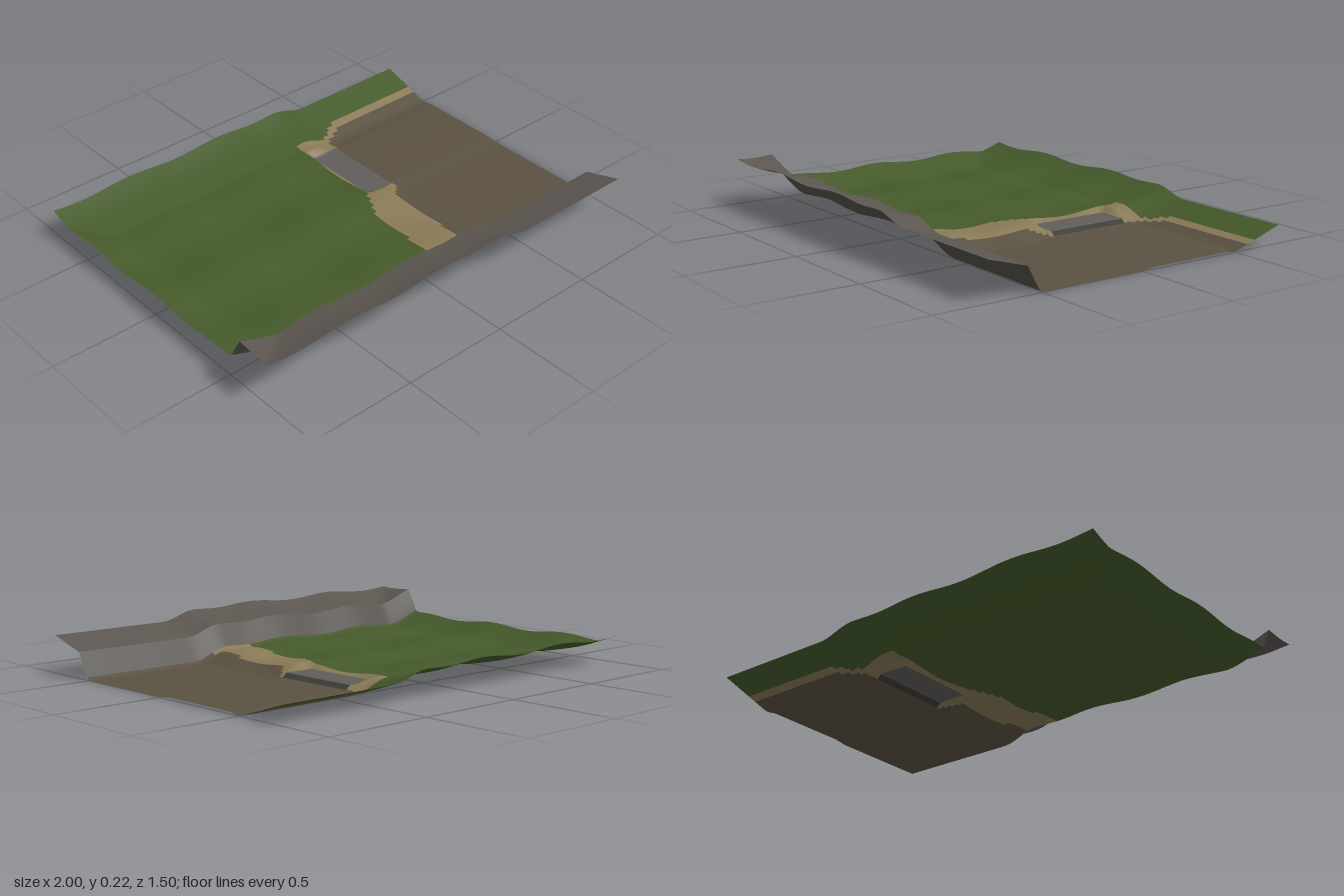
import * as THREE from 'three';

const { smoothstep, clamp, lerp } = THREE.MathUtils;

// Piecewise linear lookup through [position, value] pairs
function along(pairs, t) {
  if (t <= pairs[0][0]) return pairs[0][1];
  for (let i = 1; i < pairs.length; i++) {
    const [a, va] = pairs[i - 1], [b, vb] = pairs[i];
    if (t <= b) return lerp(va, vb, (t - a) / (b - a));
  }
  return pairs[pairs.length - 1][1];
}

const CLIFF_FOOT = 0.515, CLIFF_TOP = 0.57;
const cliffProfile = [[0.495, 0], [CLIFF_FOOT, 0.012], [CLIFF_TOP, 0.115]];

// Height of the terrain at any point
function height(x, z) {
  // rolling meadow on one side, low flat ground on the other
  const meadow = 0.045 + 0.008 * Math.cos((x + 0.1) * Math.PI * 4) * smoothstep(0.3 - x, 0, 0.3)
    + 0.008 * Math.cos((z * Math.PI * 2) / 0.45);
  const low = 0.009 * smoothstep(z, -0.5, -0.44) * (1 - smoothstep(z, -0.06, 0.02));
  let y = lerp(meadow, low, smoothstep(x, 0.24, 0.42));
  // level paved terrace with a small step along its edge
  if (z > -0.45 && z < -0.03 && x > 0.21 && x < 0.37) y = 0.027;
  else if (z > -0.45 && z < -0.03 && x >= 0.37 && x < 0.43) y = low;
  // raised borders, mitred at the corners
  const side = clamp((-0.82 - x) / 0.18, 0, 1);
  if (z > CLIFF_FOOT) {
    const front = clamp((z - CLIFF_TOP) / (0.75 - CLIFF_TOP), 0, 1);
    y += along(cliffProfile, z) + 0.052 * Math.max(front, side);
  } else {
    const back = clamp((-0.5 - z) / 0.25, 0, 1);
    y += along(cliffProfile, z) + Math.max(0.08 * back, 0.047 * side ** 1.2);
  }
  return Math.max(0, y);
}

// Outlines of the sandy path: x by z, and its far branch: z by x
const pathLeft = [[-0.04, 0.2], [0.02, 0.17], [0.07, 0.14], [0.16, 0.11], [0.3, 0.12], [0.4, 0.09], [0.52, 0.1]];
const pathRight = [[-0.04, 0.39], [0, 0.36], [0.06, 0.3], [0.25, 0.31], [0.35, 0.3], [0.4, 0.27], [0.48, 0.28], [0.52, 0.34]];
const branchFar = [[0.2, -0.53], [0.38, -0.54], [0.5, -0.62], [1, -0.62]];
const branchNear = [[0.2, -0.44], [0.375, -0.44], [0.385, -0.51], [0.5, -0.575], [1, -0.58]];

function surfaceAt(x, z) {
  if (x < along(pathLeft, z)) return 'meadow';
  if (z < along(branchFar, x)) return 'meadow';
  if (z < along(branchNear, x)) return 'sandPath';
  if (z < -0.04) return x < 0.22 ? 'sandPath' : x < 0.36 ? 'terrace' : x < 0.38 ? 'terraceStep' : 'bareGround';
  return x < along(pathRight, z) ? 'sandPath' : 'bareGround';
}

const colors = {
  meadow: 0x455a2b, sandPath: 0x8a7a57, terrace: 0x605d5a, terraceStep: 0x403d38,
  bareGround: 0x5a5141, cliffFace: 0x504c47, cliffTop: 0x5c5650,
};

// One strip of terrain; cells are sorted into meshes that share smooth normals
function addStrip(group, z0, z1, rows, classify) {
  const cols = 100, positions = [], all = [], parts = {};
  for (let j = 0; j <= rows; j++) {
    for (let i = 0; i <= cols; i++) {
      const x = -1 + (2 * i) / cols, z = lerp(z0, z1, j / rows);
      positions.push(x, height(x, z), z);
    }
  }
  for (let j = 0; j < rows; j++) {
    for (let i = 0; i < cols; i++) {
      const a = j * (cols + 1) + i, b = a + cols + 1;
      const cell = [a, b, b + 1, a, b + 1, a + 1];
      const name = classify(-1 + (2 * i + 1) / cols, lerp(z0, z1, (j + 0.5) / rows));
      (parts[name] ??= []).push(...cell);
      all.push(...cell);
    }
  }
  const sheet = new THREE.BufferGeometry();
  sheet.setAttribute('position', new THREE.Float32BufferAttribute(positions, 3));
  sheet.setIndex(all);
  sheet.computeVertexNormals();
  for (const [name, index] of Object.entries(parts)) {
    const geometry = new THREE.BufferGeometry();
    geometry.setAttribute('position', sheet.getAttribute('position'));
    geometry.setAttribute('normal', sheet.getAttribute('normal'));
    geometry.setIndex(index);
    const mesh = new THREE.Mesh(geometry, new THREE.MeshStandardMaterial({ color: colors[name], side: THREE.DoubleSide }));
    mesh.name = name;
    group.add(mesh);
  }
}

export function createModel() {
  const group = new THREE.Group();
  group.name = 'terrain';
  // ground, then the steep cliff face and the sloping land above it
  addStrip(group, -0.75, CLIFF_FOOT, 64, surfaceAt);
  addStrip(group, CLIFF_FOOT, CLIFF_TOP, 4, () => 'cliffFace');
  addStrip(group, CLIFF_TOP, 0.75, 10, () => 'cliffTop');
  return group;
}
